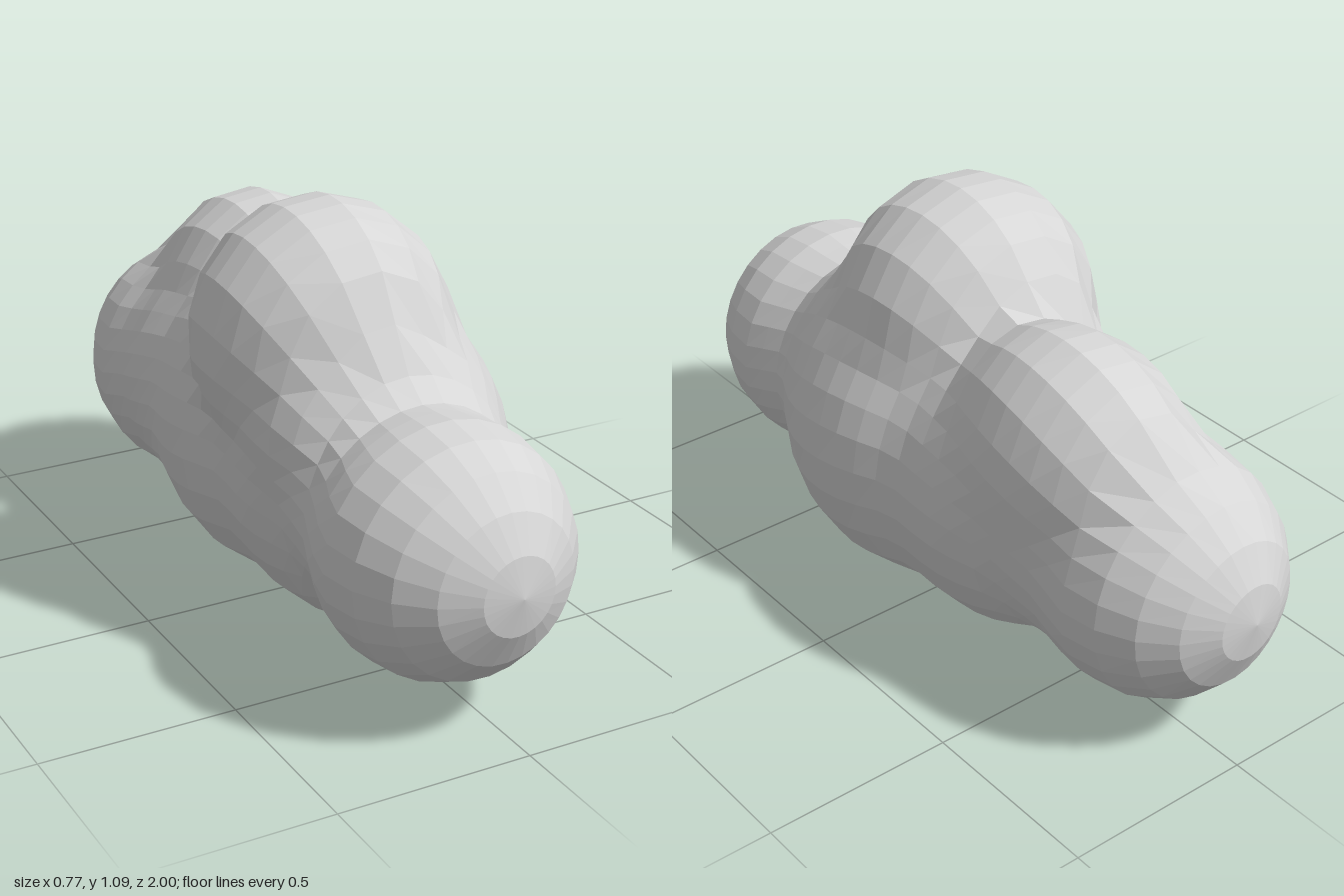
import * as THREE from 'three';

const cloudGrey = new THREE.MeshStandardMaterial({ color: 0xd6d6d6 });

// Puffs that melt into one body: centre, radii
const puffs = [
  { centre: [-0.05, 0.417, 0.683], radii: [0.312, 0.315, 0.317] }, // front
  { centre: [-0.02, 0.445, 0.43], radii: [0.285, 0.29, 0.25] }, // neck
  { centre: [-0.04, 0.6, 0.3], radii: [0.3, 0.25, 0.24] }, // front shoulder
  { centre: [-0.06, 0.76, 0.11], radii: [0.328, 0.345, 0.33] }, // crown
  { centre: [0.03, 0.432, 0.165], radii: [0.357, 0.422, 0.405] }, // belly
  { centre: [-0.01, 0.425, -0.16], radii: [0.342, 0.412, 0.415] }, // middle
  { centre: [0.05, 0.635, -0.435], radii: [0.255, 0.317, 0.35] }, // rear top
  { centre: [-0.02, 0.44, -0.45], radii: [0.305, 0.325, 0.3] }, // rear shoulder
  { centre: [-0.015, 0.415, -0.682], radii: [0.305, 0.325, 0.318] }, // rear
];
const SOFTNESS = 0.018;
const SPINE_LENGTH = 1.36;

// Signed distance to the softly blended puffs (negative inside).
function blendedDistance(p) {
  let sum = 0;
  for (const { centre, radii } of puffs) {
    const reach = Math.hypot(...radii.map((r, i) => (p.getComponent(i) - centre[i]) / r));
    sum += Math.exp(-((reach - 1) * Math.min(...radii)) / SOFTNESS);
  }
  return -SOFTNESS * Math.log(sum);
}

// Capsule grid whose points are drawn in from outside until they meet the puffs.
function bodyGeometry() {
  const geometry = new THREE.CapsuleGeometry(1, SPINE_LENGTH, 5, 28, 21).rotateX(Math.PI / 2);
  const position = geometry.attributes.position;
  const spine = new THREE.Vector3();
  const direction = new THREE.Vector3();
  const point = new THREE.Vector3();
  for (let i = 0; i < position.count; i++) {
    direction.fromBufferAttribute(position, i);
    spine.set(0, 0, THREE.MathUtils.clamp(direction.z, -SPINE_LENGTH / 2, SPINE_LENGTH / 2));
    direction.sub(spine).normalize();
    // the spine arches up towards the crown
    spine.set(-0.03, 0.42 + 0.13 * Math.cos((Math.PI * spine.z) / SPINE_LENGTH), spine.z);
    let t = 1;
    for (let step = 0; step < 60; step++) {
      point.copy(spine).addScaledVector(direction, t);
      t -= 0.7 * blendedDistance(point);
    }
    point.copy(spine).addScaledVector(direction, t);
    position.setXYZ(i, point.x, point.y, point.z);
  }
  const flat = geometry.toNonIndexed();
  flat.computeVertexNormals(); // one normal per facet
  return flat;
}

export function createModel() {
  const cloud = new THREE.Group();
  cloud.name = 'cloud';
  const body = new THREE.Mesh(bodyGeometry(), cloudGrey);
  body.name = 'cloudBody';
  cloud.add(body);
  return cloud;
}
